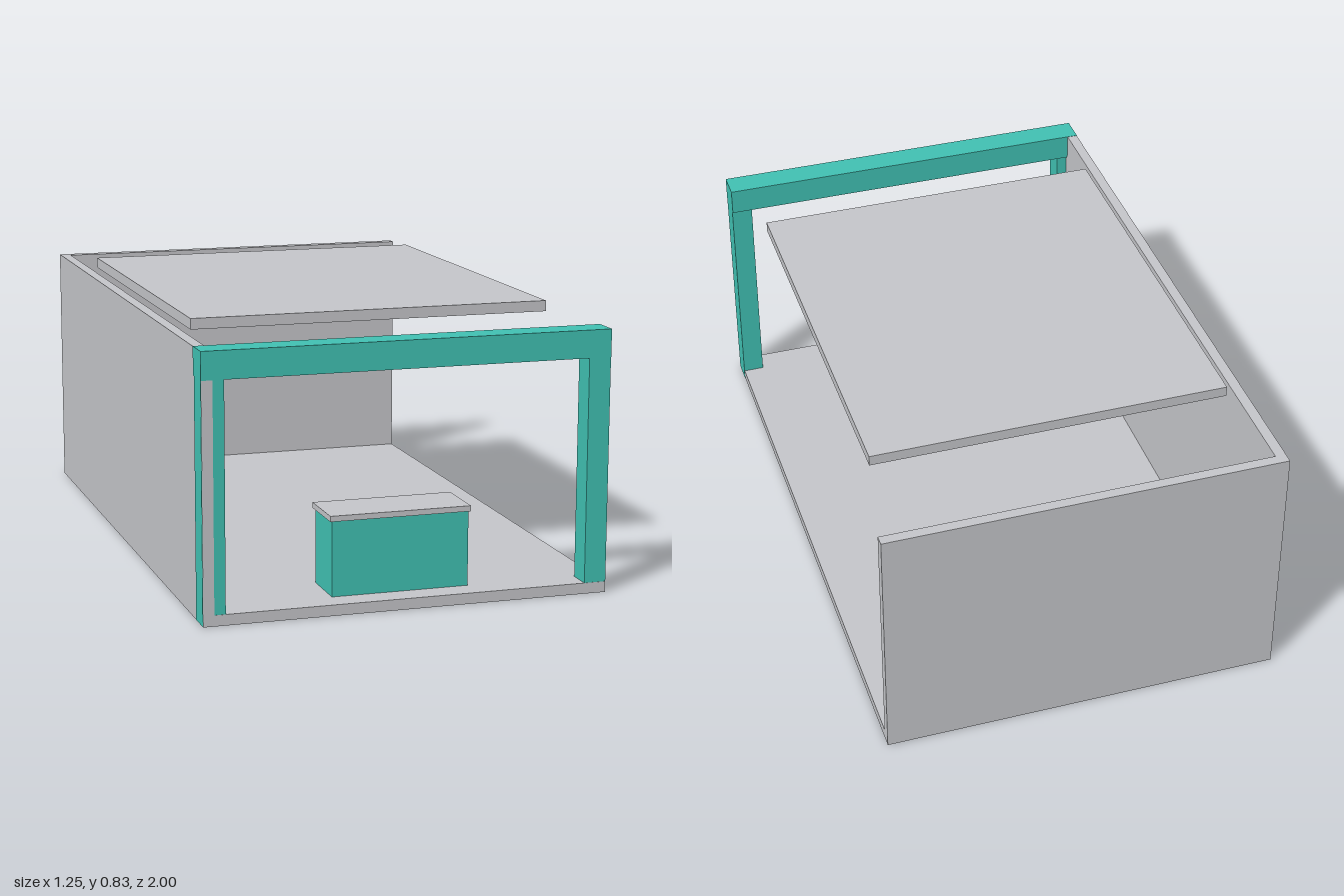
import * as THREE from 'three';

export function createModel() {
  const model = new THREE.Group();
  model.name = 'openBooth';

  const panelGrey = new THREE.MeshStandardMaterial({ color: 0xc5c6ca });
  panelGrey.name = 'panelGrey';
  const frameTeal = new THREE.MeshStandardMaterial({ color: 0x41c1b3 });
  frameTeal.name = 'frameTeal';

  // Box given by its minimum and maximum corners
  function box(name, material, [x0, y0, z0], [x1, y1, z1], parent = model) {
    const mesh = new THREE.Mesh(new THREE.BoxGeometry(x1 - x0, y1 - y0, z1 - z0), material);
    mesh.position.set((x0 + x1) / 2, (y0 + y1) / 2, (z0 + z1) / 2);
    mesh.name = name;
    parent.add(mesh);
  }

  // Shell: floor, back wall and one side wall; the +x side stays open
  box('floor', panelGrey, [-0.622, 0, -1], [0.622, 0.033, 0.999]);
  box('backWall', panelGrey, [-0.622, 0.033, -1], [0.622, 0.8, -0.967]);
  box('sideWall', panelGrey, [-0.622, 0.033, -0.967], [-0.589, 0.8, 0.999]);

  // Floating roof panel
  box('roofPanel', panelGrey, [-0.561, 0.8, -0.652], [0.561, 0.833, 0.645]);

  // Entrance frame, a hair proud of the shell so faces never coincide
  const frame = new THREE.Group();
  frame.name = 'entranceFrame';
  model.add(frame);
  box('rightPost', frameTeal, [-0.623, 0.001, 0.922], [-0.555, 0.72, 0.998], frame);
  box('leftPost', frameTeal, [0.555, 0.001, 0.922], [0.623, 0.72, 0.998], frame);
  box('headerBeam', frameTeal, [-0.623, 0.717, 0.912], [0.623, 0.801, 1], frame);

  // Reception counter with overhanging top
  const counter = new THREE.Group();
  counter.name = 'counter';
  model.add(counter);
  box('counterBody', frameTeal, [-0.212, 0.033, 0.755], [0.212, 0.261, 0.919], counter);
  box('counterTop', panelGrey, [-0.218, 0.261, 0.745], [0.218, 0.278, 0.923], counter);

  return model;
}
